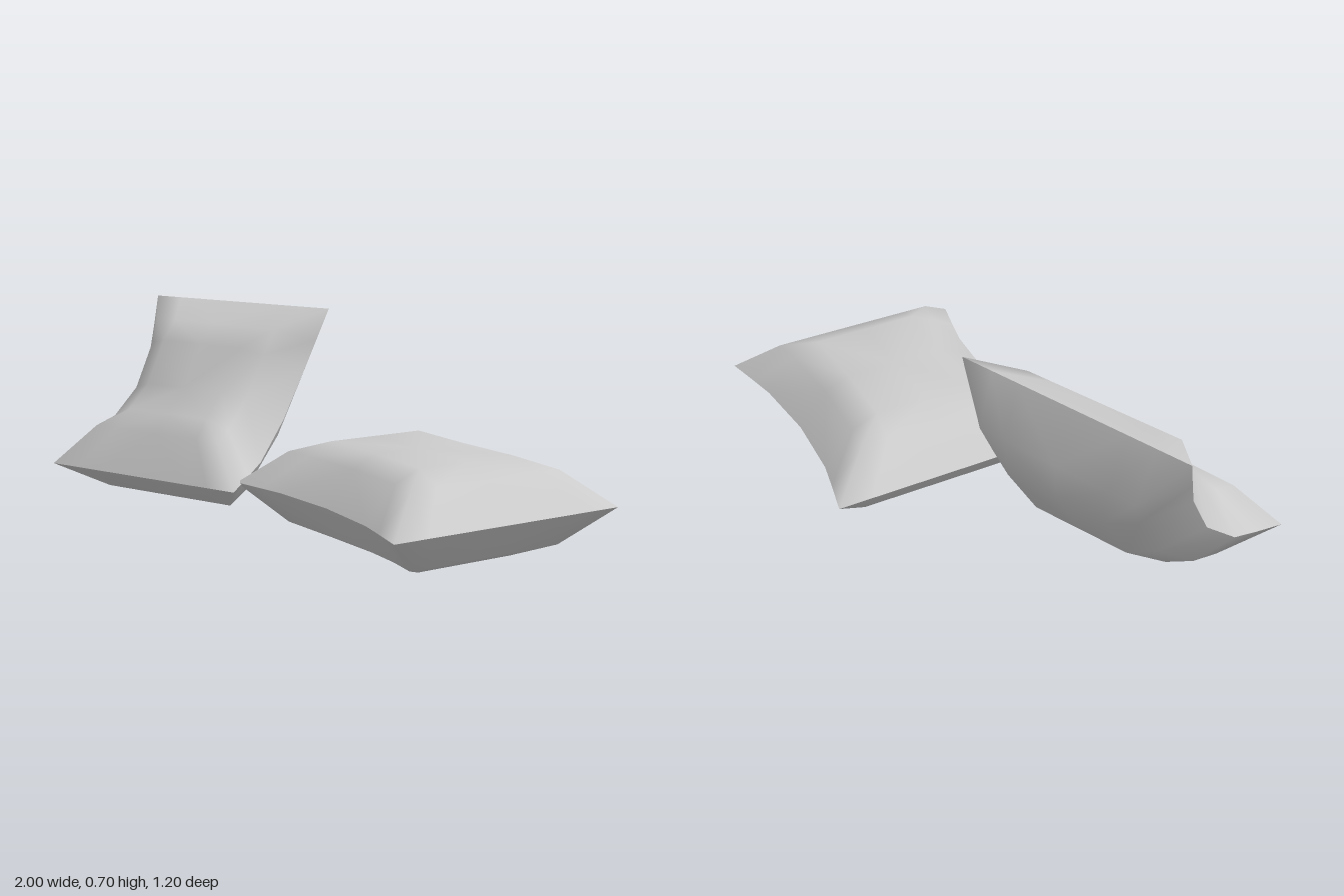
import * as THREE from 'three';

// Grid lines across a cushion: closely spaced near the seam, where it swells
const STEPS = [-1, -0.72, -0.48, 0, 0.48, 0.72, 1];
const N = STEPS.length;

const curve = (points) =>
  new THREE.CatmullRomCurve3(points.map((p) => new THREE.Vector3(...p)));

// Fullness from the seam (0) to the plateau (1)
function fullness(u, v) {
  const d = Math.max(Math.abs(u), Math.abs(v));
  if (d >= 0.72) return (0.74 * (1 - d)) / 0.28;
  return Math.min(1, 0.74 + (0.26 * (0.72 - d)) / 0.24);
}

// One fabric panel, swelling by `swell` from the sheet between two side seams
function panel(name, left, right, swell, material) {
  const middle = (u, v) => {
    const t = THREE.MathUtils.clamp((v + 1) / 2, 0, 1);
    return left.getPoint(t).lerp(right.getPoint(t), (u + 1) / 2);
  };
  const positions = [];
  for (const v of STEPS) {
    for (const u of STEPS) {
      const e = 0.08;
      const du = middle(u + e, v).sub(middle(u - e, v));
      const dv = middle(u, v + e).sub(middle(u, v - e));
      const normal = du.cross(dv).normalize();
      const p = middle(u, v).addScaledVector(normal, swell * fullness(u, v));
      positions.push(p.x, p.y, p.z);
    }
  }
  const index = [];
  const face = (a, b, c) => index.push(...(swell > 0 ? [a, b, c] : [a, c, b]));
  for (let j = 0; j < N - 1; j++) {
    for (let i = 0; i < N - 1; i++) {
      const a = j * N + i, b = a + 1, c = b + N, d = a + N;
      // Diagonals run from the corners towards the centre
      if ((i < (N - 1) / 2) === (j < (N - 1) / 2)) {
        face(a, b, c);
        face(a, c, d);
      } else {
        face(a, b, d);
        face(b, c, d);
      }
    }
  }
  const geometry = new THREE.BufferGeometry();
  geometry.setAttribute('position', new THREE.Float32BufferAttribute(positions, 3));
  geometry.setIndex(index);
  geometry.computeVertexNormals();
  const mesh = new THREE.Mesh(geometry, material);
  mesh.name = name;
  return mesh;
}

// Two panels meeting in a sharp seam
function cushion(name, leftPoints, rightPoints, material) {
  const left = curve(leftPoints), right = curve(rightPoints);
  const group = new THREE.Group();
  group.name = name;
  group.add(
    panel('upperPanel', left, right, 0.15, material),
    panel('lowerPanel', left, right, -0.17, material)
  );
  return group;
}

export function createModel() {
  const material = new THREE.MeshStandardMaterial({ color: 0xcccccc });
  const model = new THREE.Group();
  model.name = 'cushions';

  // Cushion lying flat
  model.add(cushion('flatCushion',
    [[0.22, 0.17, -0.6], [0.43, 0.17, -0.4], [0.73, 0.17, -0.21], [1, 0.17, -0.1]],
    [[-0.22, 0.17, 0.09], [0.04, 0.17, 0.2], [0.34, 0.17, 0.4], [0.54, 0.17, 0.6]],
    material));

  // Cushion bent upwards towards the back
  model.add(cushion('bentCushion',
    [[-1, 0.15, 0.01], [-0.9, 0.24, -0.24], [-0.865, 0.45, -0.41], [-0.89, 0.705, -0.55]],
    [[-0.2, 0.15, 0.15], [-0.2, 0.24, -0.1], [-0.17, 0.45, -0.28], [-0.1, 0.705, -0.38]],
    material));

  return model;
}
